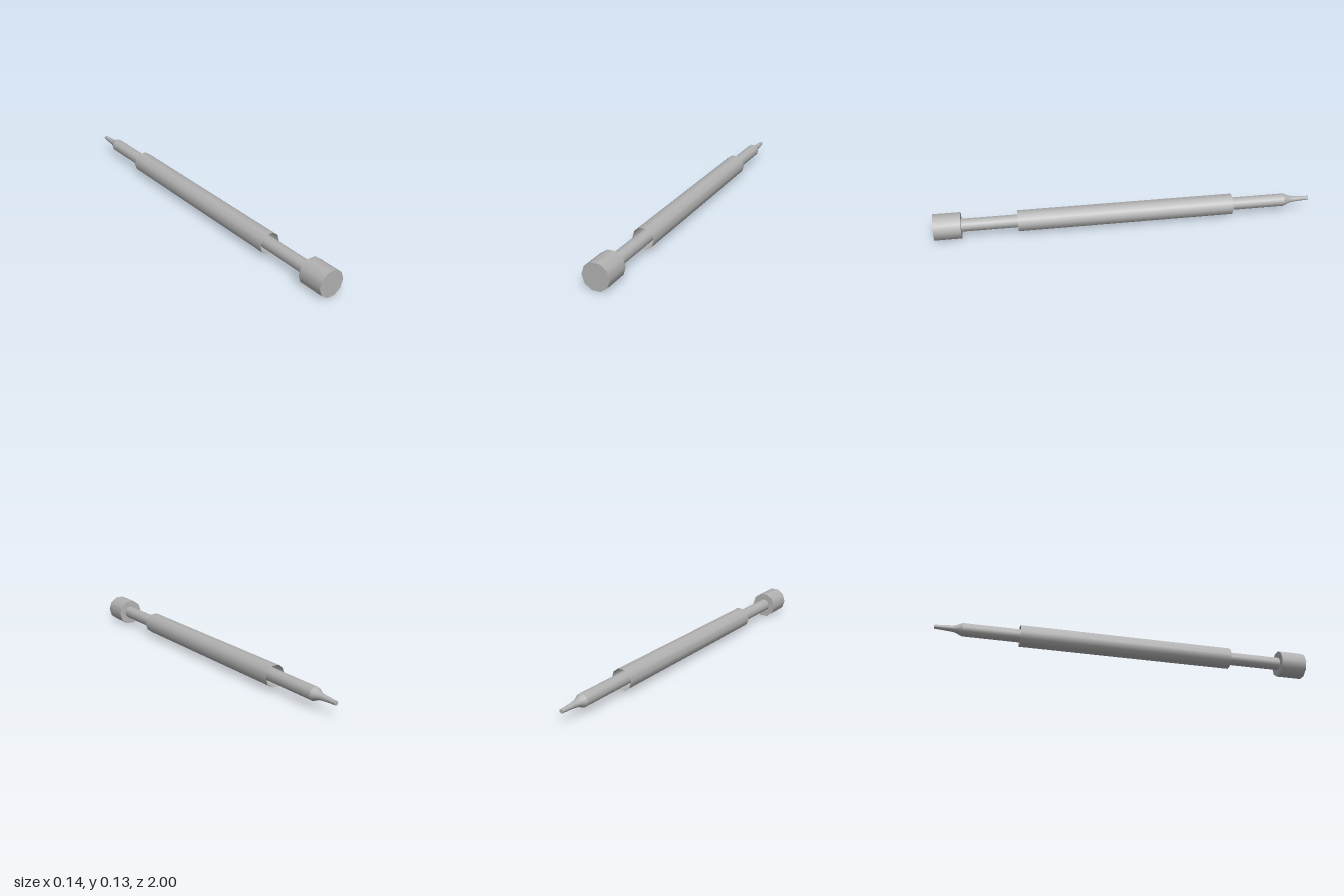
import * as THREE from 'three';

const SIDES = 10;
const AXIS_Y = 0.067; // height of the common axis

export function createModel() {
  const model = new THREE.Group();
  const metal = new THREE.MeshStandardMaterial({ color: 0xb2b2b2 });
  metal.name = 'grey metal';
  metal.side = THREE.DoubleSide;

  const add = (name, geometry, z = 0) => {
    geometry.rotateX(Math.PI / 2); // lay the axis along z
    const mesh = new THREE.Mesh(geometry, metal);
    mesh.name = name;
    mesh.position.set(0, AXIS_Y, z);
    model.add(mesh);
  };

  // Cylinder running from z0 (back) to z1 (front)
  const bar = (name, radius, z0, z1, open = false) =>
    add(name, new THREE.CylinderGeometry(radius, radius, z1 - z0, SIDES, 1, open, Math.PI / 2), (z0 + z1) / 2);

  bar('head', 0.0705, 0.86, 1);
  bar('sleeve', 0.0565, -0.57, 0.57, true); // hollow, open at both ends
  bar('rod', 0.0345, -0.86, 0.86, true);

  // Narrowing shoulder and slender point, from tip to rod
  const profile = [
    [0.0105, -1], [0.0135, -0.95], [0.0165, -0.91], [0.0195, -0.893], [0.0275, -0.875], [0.0345, -0.86],
  ].map(([r, z]) => new THREE.Vector2(r, z));
  add('tip', new THREE.LatheGeometry(profile, SIDES, Math.PI / 2));

  // Flat end of the point
  const end = new THREE.CircleGeometry(0.0105, SIDES);
  end.rotateX(Math.PI / 2);
  add('tipEnd', end, -1);

  return model;
}
